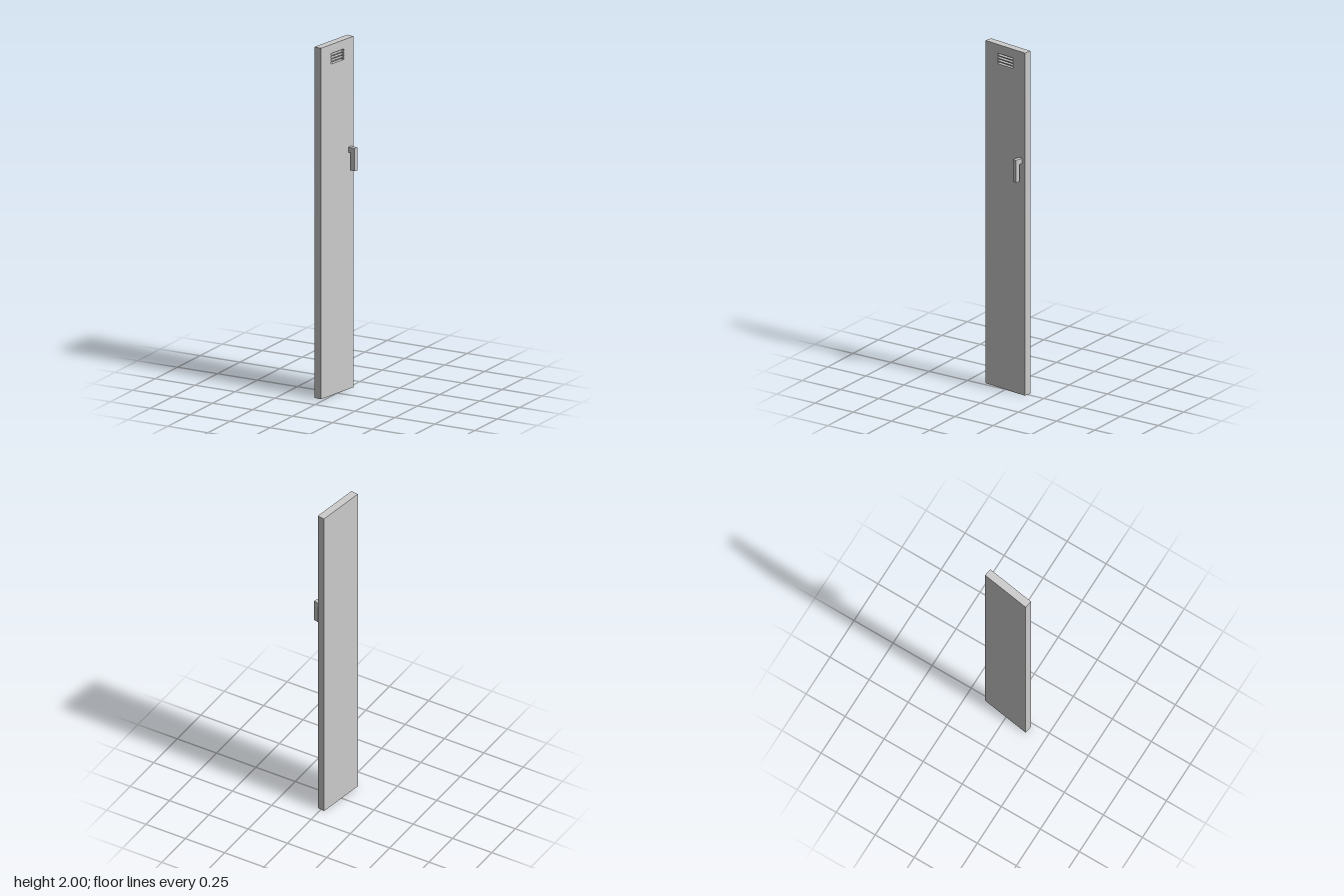
import * as THREE from 'three';

const HEIGHT = 2, WIDTH = 0.29, THICK = 0.0445;
const SLOT_DEPTH = 0.02, SLOT_WIDTH = 0.116, SLOT_HEIGHT = 0.011;

// Closed polygon from corner points
const polygon = (points, Type = THREE.Shape) =>
  new Type(points.map(([x, y]) => new THREE.Vector2(x, y)));

const rect = (w, y0, y1, Type) =>
  polygon([[-w / 2, y0], [w / 2, y0], [w / 2, y1], [-w / 2, y1]], Type);

export function createModel() {
  const model = new THREE.Group();
  model.name = 'lockerDoor';
  const material = new THREE.MeshStandardMaterial({ color: 0xcccccc, flatShading: true });

  const add = (parent, geometry, name) => {
    const mesh = new THREE.Mesh(geometry, material);
    mesh.name = name;
    parent.add(mesh);
    return mesh;
  };

  // Door slab, swung slightly open; its outer face looks along local +x
  const door = new THREE.Group();
  door.name = 'door';
  door.position.set(-0.0215, 0, -0.001);
  door.rotation.y = -0.149;
  model.add(door);

  // Outer skin with four vent slots near the top
  const skin = rect(WIDTH, 0, HEIGHT);
  for (let i = 0; i < 4; i++) {
    const y = 1.888 + i * 0.0165;
    skin.holes.push(rect(SLOT_WIDTH, y, y + SLOT_HEIGHT, THREE.Path));
  }
  const skinGeometry = new THREE.ExtrudeGeometry(skin, { depth: SLOT_DEPTH, bevelEnabled: false });
  skinGeometry.rotateY(Math.PI / 2);
  add(door, skinGeometry, 'ventedPanel').position.x = THICK / 2 - SLOT_DEPTH;

  // Solid backing that closes the slots
  const backThick = THICK - SLOT_DEPTH;
  add(door, new THREE.BoxGeometry(backThick, HEIGHT, WIDTH), 'backPanel')
    .position.set(-THICK / 2 + backThick / 2, HEIGHT / 2, 0);

  // Hooked handle: short arm with a grip hanging from it
  const hook = polygon([
    [-0.023, 1.35], [-0.004, 1.35], [-0.004, 1.25],
    [0.023, 1.25], [0.023, 1.38], [-0.023, 1.38],
  ]);
  const hookGeometry = new THREE.ExtrudeGeometry(hook, { depth: 0.025, bevelEnabled: false });
  hookGeometry.translate(0, 0, -0.0125);
  const handle = add(model, hookGeometry, 'handle');
  handle.position.set(0.0385, 0, -0.103);
  handle.rotation.y = -0.22;

  return model;
}
